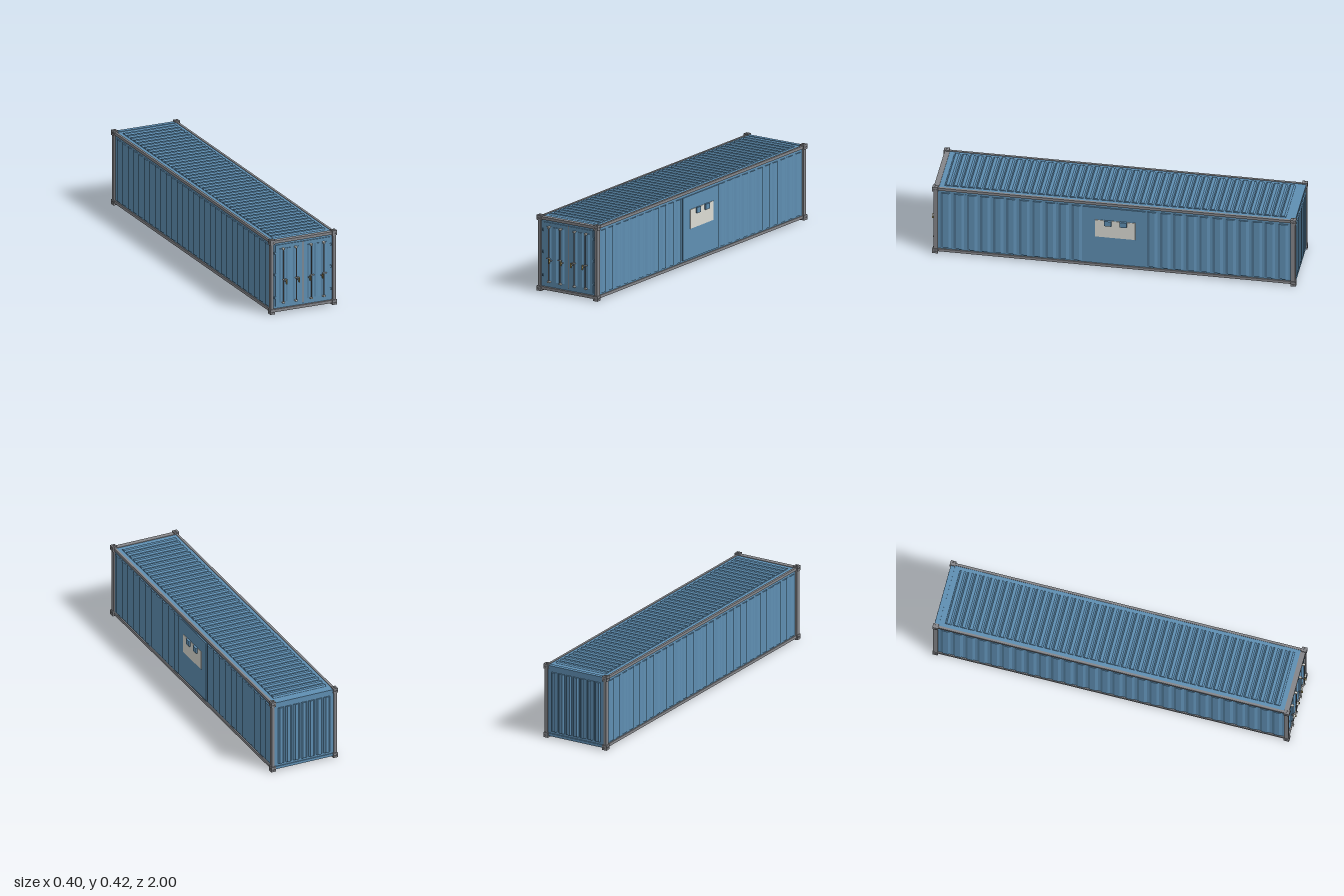
import * as THREE from 'three';

const mat = (color) => new THREE.MeshStandardMaterial({ color, flatShading: true });
const CX = -0.0015, CZ = -0.0085; // centre of the frame

export function createModel() {
  const root = new THREE.Group();
  root.name = 'shippingContainer';
  const blue = mat(0x5f8fb3), grey = mat(0x85868a), light = mat(0xcfcfca);
  const yellow = mat(0xb8a468), seal = mat(0x9a8378), white = mat(0xdcdcd4);

  const group = (name, parent = root) => {
    const g = new THREE.Group();
    g.name = name;
    parent.add(g);
    return g;
  };
  const add = (parent, name, geo, material) => {
    const m = new THREE.Mesh(geo, material);
    m.name = name;
    parent.add(m);
    return m;
  };
  // Box given by its limits on each axis
  const box = (parent, name, material, [x0, x1], [y0, y1], [z0, z1]) => {
    const m = add(parent, name, new THREE.BoxGeometry(Math.abs(x1 - x0), y1 - y0, z1 - z0), material);
    m.position.set((x0 + x1) / 2, (y0 + y1) / 2, (z0 + z1) / 2);
    return m;
  };
  // Trapezoid ribs between two ends, extruded along the cross axis; U = run, D = outward
  const ribs = (name, from, to, count, depth, span, U, D, origin, parent = root) => {
    const s = new THREE.Shape();
    const p = (to - from) / count;
    s.moveTo(from, -0.002);
    for (let i = 0; i < count; i++) {
      const u = from + i * p;
      s.lineTo(u + p * 0.1, 0.0002);
      s.lineTo(u + p * 0.3, depth);
      s.lineTo(u + p * 0.7, depth);
      s.lineTo(u + p * 0.9, 0.0002);
    }
    s.lineTo(to, -0.002);
    const geo = new THREE.ExtrudeGeometry(s, { depth: span, bevelEnabled: false });
    geo.translate(0, 0, -span / 2);
    const u = new THREE.Vector3(...U), d = new THREE.Vector3(...D);
    geo.applyMatrix4(new THREE.Matrix4().makeBasis(u, d, u.clone().cross(d)));
    add(parent, name, geo, blue).position.set(...origin);
  };

  // Closed inner body: walls, roof and floor
  box(root, 'body', blue, [CX - 0.184, CX + 0.184], [0.013, 0.413], [-0.99, 0.966]);

  // Corrugated walls and roof; the left wall leaves a smooth bay for the plate
  ribs('rightWallRibs', -0.955, 0.955, 28, 0.007, 0.35, [0, 0, -1], [-1, 0, 0], [CX - 0.184, 0.21, CZ]);
  ribs('leftWallFrontRibs', 0.17, 0.955, 11, 0.007, 0.35, [0, 0, 1], [1, 0, 0], [CX + 0.184, 0.21, CZ]);
  ribs('leftWallRearRibs', -0.955, -0.17, 11, 0.007, 0.35, [0, 0, 1], [1, 0, 0], [CX + 0.184, 0.21, CZ]);
  box(root, 'smoothBay', blue, [CX + 0.18, CX + 0.19], [0.035, 0.385], [CZ - 0.17, CZ + 0.17]);
  ribs('roofRibs', -0.935, 0.935, 44, 0.007, 0.314, [0, 0, 1], [0, 1, 0], [CX, 0.413, CZ]);
  ribs('endWallRibs', -0.16, 0.16, 7, 0.008, 0.34, [1, 0, 0], [0, 0, -1], [CX, 0.21, -0.99]);

  // Plain plate with two raised blocks on the smooth bay
  const plate = group('sidePlate');
  box(plate, 'plate', white, [0.187, 0.191], [0.2, 0.307], [-0.123, 0.097]);
  for (const z of [0.026, -0.058]) {
    box(plate, 'plateBlock', blue, [0.188, 0.2], [0.277, 0.308], [z - 0.019, z + 0.019]);
  }

  // Corner fitting: a core with slotted plates on its three outer faces
  const W = 0.027, H = 0.028, L = 0.03, T = 0.004;
  const slotted = (w, h) => {
    const s = new THREE.Shape([[-1, -1], [1, -1], [1, 1], [-1, 1]]
      .map(([a, b]) => new THREE.Vector2(a * w / 2, b * h / 2)));
    s.holes.push(new THREE.Path().absellipse(0, 0, 0.0085, 0.0038, 0, Math.PI * 2, true));
    return new THREE.ExtrudeGeometry(s, { depth: T, bevelEnabled: false, curveSegments: 10 });
  };
  const frame = group('frame');
  for (const sx of [-1, 1]) for (const sy of [-1, 1]) for (const sz of [-1, 1]) {
    const c = group('cornerFitting', frame);
    c.position.set(CX + sx * (0.1985 - W / 2), sy < 0 ? H / 2 : 0.423 - H / 2, CZ + sz * (0.9915 - L / 2));
    const core = add(c, 'fittingCore', new THREE.BoxGeometry(W - T, H - T, L - T), grey);
    core.position.set(-sx * T / 2, -sy * T / 2, -sz * T / 2);
    const zFace = add(c, 'endPlate', slotted(W, H), grey);
    zFace.position.z = sz > 0 ? L / 2 - T : -L / 2;
    const xFace = add(c, 'sidePlate', slotted(L, H), grey);
    xFace.rotation.y = Math.PI / 2;
    xFace.position.x = sx > 0 ? W / 2 - T : -W / 2;
    const yFace = add(c, 'capPlate', slotted(W, L), grey);
    yFace.rotation.x = -Math.PI / 2;
    yFace.position.y = sy > 0 ? H / 2 - T : -H / 2;
  }

  // Corner posts and long rails
  for (const s of [-1, 1]) {
    const xs = (a, b) => [CX + s * a, CX + s * b];
    box(frame, 'frontPost', grey, xs(0.177, 0.194), [0.02, 0.405], [0.953, 0.978]);
    box(frame, 'rearPost', grey, xs(0.177, 0.194), [0.02, 0.405], [-0.996, -0.971]);
    box(frame, 'topRail', grey, xs(0.178, 0.191), [0.4, 0.416], [-0.98, 0.965]);
    box(frame, 'bottomRail', grey, xs(0.178, 0.191), [0.01, 0.026], [-0.98, 0.965]);
  }
  // Cross members of the door end and the blue surround
  box(frame, 'frontHeader', grey, [CX - 0.172, CX + 0.172], [0.4, 0.416], [0.95, 0.978]);
  box(frame, 'frontSill', grey, [CX - 0.172, CX + 0.172], [0.01, 0.026], [0.95, 0.978]);
  box(frame, 'rearSill', blue, [CX - 0.172, CX + 0.172], [0.01, 0.026], [-0.994, -0.97]);
  box(frame, 'rearHeader', blue, [CX - 0.172, CX + 0.172], [0.4, 0.416], [-0.994, -0.97]);

  // Double doors with pressed ribs, hinges and locking gear
  const doors = group('doors');
  for (const s of [-1, 1]) {
    const door = group(s < 0 ? 'rightDoor' : 'leftDoor', doors);
    const px = (a) => CX + s * a;
    box(door, 'doorLeaf', blue, [px(0.002), px(0.163)], [0.037, 0.387], [0.96, 0.971]);
    ribs('doorRibs', -0.062, 0.062, 3, 0.005, 0.305, [-1, 0, 0], [0, 0, 1], [px(0.084), 0.2125, 0.971], door);
    for (const y of [0.09, 0.22, 0.343]) {
      box(door, 'hinge', blue, [px(0.161), px(0.17)], [y - 0.006, y + 0.006], [0.962, 0.976]);
    }
    for (const r of [0.0455, 0.1205]) {
      const x = px(r);
      const rod = add(door, 'lockRod', new THREE.CylinderGeometry(0.0028, 0.0028, 0.305, 10), grey);
      rod.position.set(x, 0.2125, 0.985);
      for (const y of [0.06, 0.364]) {
        box(door, 'rodBracket', light, [x - 0.006, x + 0.006], [y - 0.004, y + 0.004], [0.968, 0.99]);
      }
      box(door, 'handleArm', light, [x - 0.008, x + 0.013], [0.191, 0.194], [0.984, 0.996]);
      const hx = x - s * 0.0125;
      box(door, 'handle', yellow, [hx - 0.002, hx + 0.002], [0.166, 0.192], [0.99, 1]);
      box(door, 'handleCatch', grey, [hx - 0.003, hx + 0.003], [0.176, 0.181], [0.968, 0.991]);
    }
  }
  box(doors, 'doorSeal', seal, [CX - 0.002, CX + 0.002], [0.037, 0.387], [0.96, 0.973]);
  return root;
}
